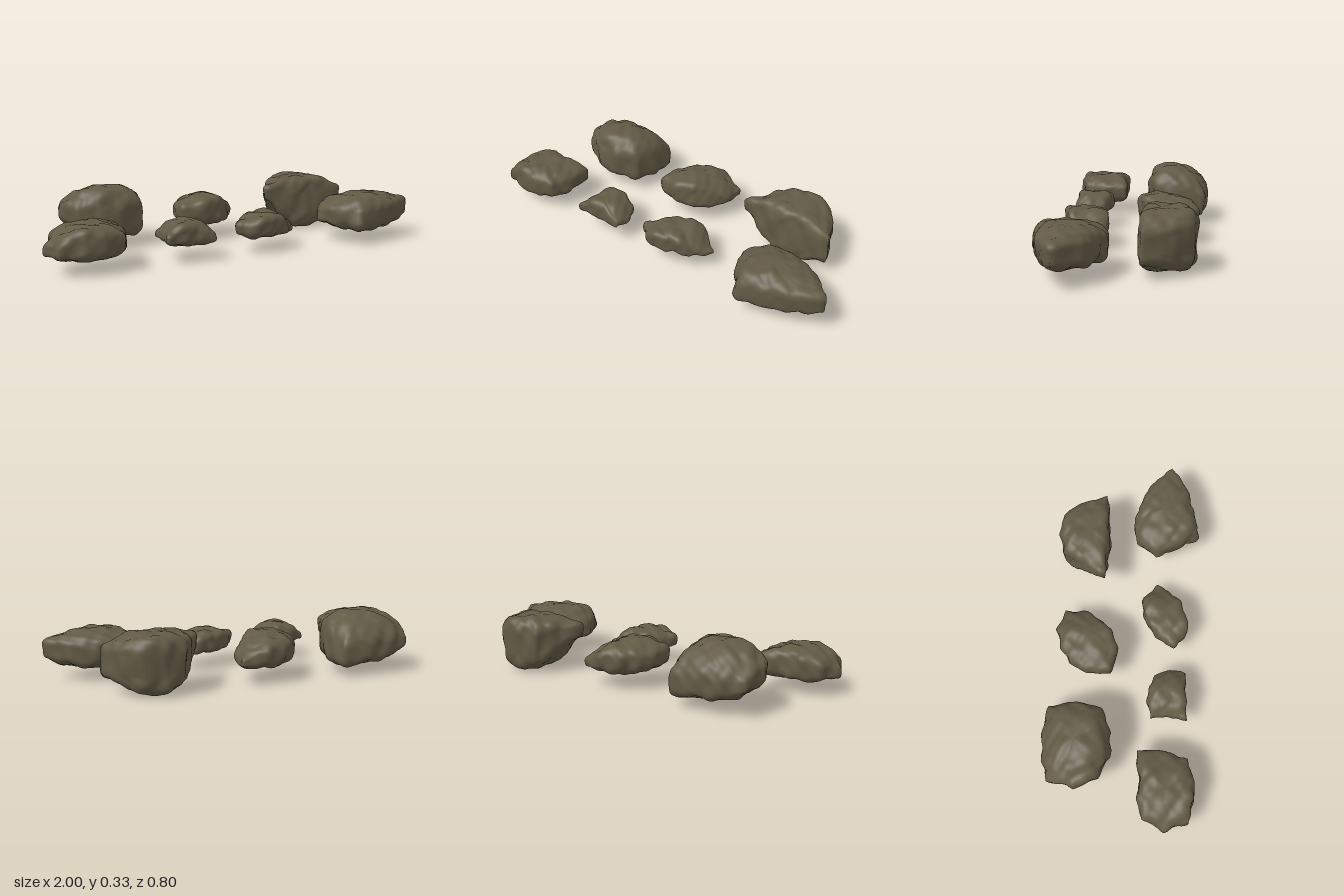
import * as THREE from 'three';
import { mergeVertices } from 'three/addons/utils/BufferGeometryUtils.js';

const stone = new THREE.MeshStandardMaterial({ color: 0x625a45 });
stone.name = 'mossy stone';

const STEP = Math.PI / 5; // ten corners around each rock
const ROUGHNESS = 0.009;

// Outline radius at an angle, along straight edges between the corners
function reach(radii, turn, angle) {
  const t = (angle - turn) / STEP + 20;
  const k = Math.floor(t), f = (t - k) * STEP;
  const a = radii[k % 10], b = radii[(k + 1) % 10];
  return (a * b * Math.sin(STEP)) / (a * Math.sin(f) + b * Math.sin(STEP - f));
}

// Height at t from -1 to 1, given the values at the right end, middle and left end
function arch([low, mid, high], t) {
  return mid + ((t < 0 ? low : high) - mid) * t * t;
}

// Weathered surface: soft lumps with creases between them, and finer pitting
function lumps(x, y, z) {
  const a = Math.abs(Math.sin(17 * x + 9 * y + 3 * Math.sin(11 * z)));
  const b = Math.abs(Math.sin(19 * z - 13 * y + 2 * Math.sin(13 * x)));
  const c = Math.sin(41 * x + 23 * z) * Math.sin(37 * y - 29 * z + 15 * x);
  const d = Math.sin(71 * x - 37 * y) * Math.sin(67 * z + 43 * y);
  return 0.8 * a + 0.8 * b + 0.5 * c + 0.3 * d - 0.9;
}

// centre [x, z]; radii of the corners, the first at `turn` degrees from +x towards +z;
// top and bottom heights along x; round: small is blocky; lean and crown: slope and
// curve of the top along z
function makeRock(name, { centre: [cx, cz], radii, turn = 0, top, bottom, round, lean = 0, crown = 0 }) {
  let geo = new THREE.SphereGeometry(1, 80, 44);
  geo.deleteAttribute('uv');
  geo.deleteAttribute('normal');
  geo = mergeVertices(geo, 1e-5);
  const pos = geo.attributes.position;
  const start = THREE.MathUtils.degToRad(turn);
  const east = reach(radii, start, 0), west = reach(radii, start, Math.PI);

  // Shape a sphere to the outline and heights
  for (let i = 0; i < pos.count; i++) {
    const x = pos.getX(i), y = pos.getY(i), z = pos.getZ(i);
    const angle = Math.atan2(z, x);
    const r = reach(radii, start, angle) * Math.hypot(x, z) ** round;
    const dx = Math.cos(angle) * r, dz = Math.sin(angle) * r;
    const t = THREE.MathUtils.clamp(dx / (dx > 0 ? east : west), -1, 1);
    const hi = arch(top, t) + lean * dz - crown * dz * dz, lo = arch(bottom, t);
    const rise = Math.sign(y) * Math.abs(y) ** round;
    pos.setXYZ(i, cx + dx, (hi + lo) / 2 + (rise * (hi - lo)) / 2, cz + dz);
  }
  geo.computeVertexNormals();

  // Push the surface in and out along its normals
  const n = geo.attributes.normal;
  for (let i = 0; i < pos.count; i++) {
    const x = pos.getX(i), y = pos.getY(i), z = pos.getZ(i);
    const k = ROUGHNESS * lumps(x, y, z);
    pos.setXYZ(i, x + n.getX(i) * k, Math.max(0, y + n.getY(i) * k), z + n.getZ(i) * k);
  }
  geo.computeVertexNormals();
  const mesh = new THREE.Mesh(geo, stone);
  mesh.name = name;
  return mesh;
}

export function createModel() {
  const group = new THREE.Group();
  group.name = 'rockSet';

  // Back row
  group.add(makeRock('backRightRock', {
    centre: [-0.59, -0.23], round: 0.52, lean: 0.22, crown: 2,
    radii: [0.215, 0.22, 0.18, 0.18, 0.2, 0.22, 0.225, 0.17, 0.175, 0.25],
    top: [0.26, 0.32, 0.275], bottom: [0.14, 0.06, 0.025],
  }));
  group.add(makeRock('backMiddleRock', {
    centre: [-0.03, -0.19], round: 0.6, lean: 0.1,
    radii: [0.165, 0.135, 0.14, 0.165, 0.215, 0.175, 0.15, 0.145, 0.17, 0.21],
    top: [0.22, 0.24, 0.17], bottom: [0.1, 0.08, 0.08],
  }));
  group.add(makeRock('backLeftRock', {
    centre: [0.55, -0.19], round: 0.4, turn: 18,
    radii: [0.26, 0.118, 0.095, 0.115, 0.255, 0.18, 0.175, 0.165, 0.185, 0.2],
    top: [0.27, 0.3, 0.26], bottom: [0.17, 0.01, 0.07],
  }));

  // Front row
  group.add(makeRock('frontRightRock', {
    centre: [-0.8, 0.22], round: 0.5,
    radii: [0.195, 0.185, 0.15, 0.155, 0.195, 0.195, 0.18, 0.14, 0.13, 0.235],
    top: [0.16, 0.23, 0.2], bottom: [0.08, 0.07, 0.08],
  }));
  group.add(makeRock('smallFrontRock', {
    centre: [-0.31, 0.235], round: 0.62,
    radii: [0.14, 0.155, 0.085, 0.105, 0.155, 0.11, 0.155, 0.11, 0.1, 0.125],
    top: [0.17, 0.205, 0.14], bottom: [0.09, 0.08, 0.09],
  }));
  group.add(makeRock('slimFrontRock', {
    centre: [0.13, 0.22], round: 0.52, turn: -15,
    radii: [0.205, 0.13, 0.095, 0.105, 0.145, 0.19, 0.13, 0.11, 0.125, 0.15],
    top: [0.175, 0.2, 0.115], bottom: [0.09, 0.08, 0.08],
  }));
  group.add(makeRock('frontLeftRock', {
    centre: [0.7, 0.2], round: 0.48, turn: 10,
    radii: [0.3, 0.19, 0.165, 0.22, 0.19, 0.23, 0.2, 0.16, 0.14, 0.19],
    top: [0.2, 0.255, 0.23], bottom: [0.09, 0.065, 0.085], lean: 0.08, crown: 1,
  }));
  return group;
}
